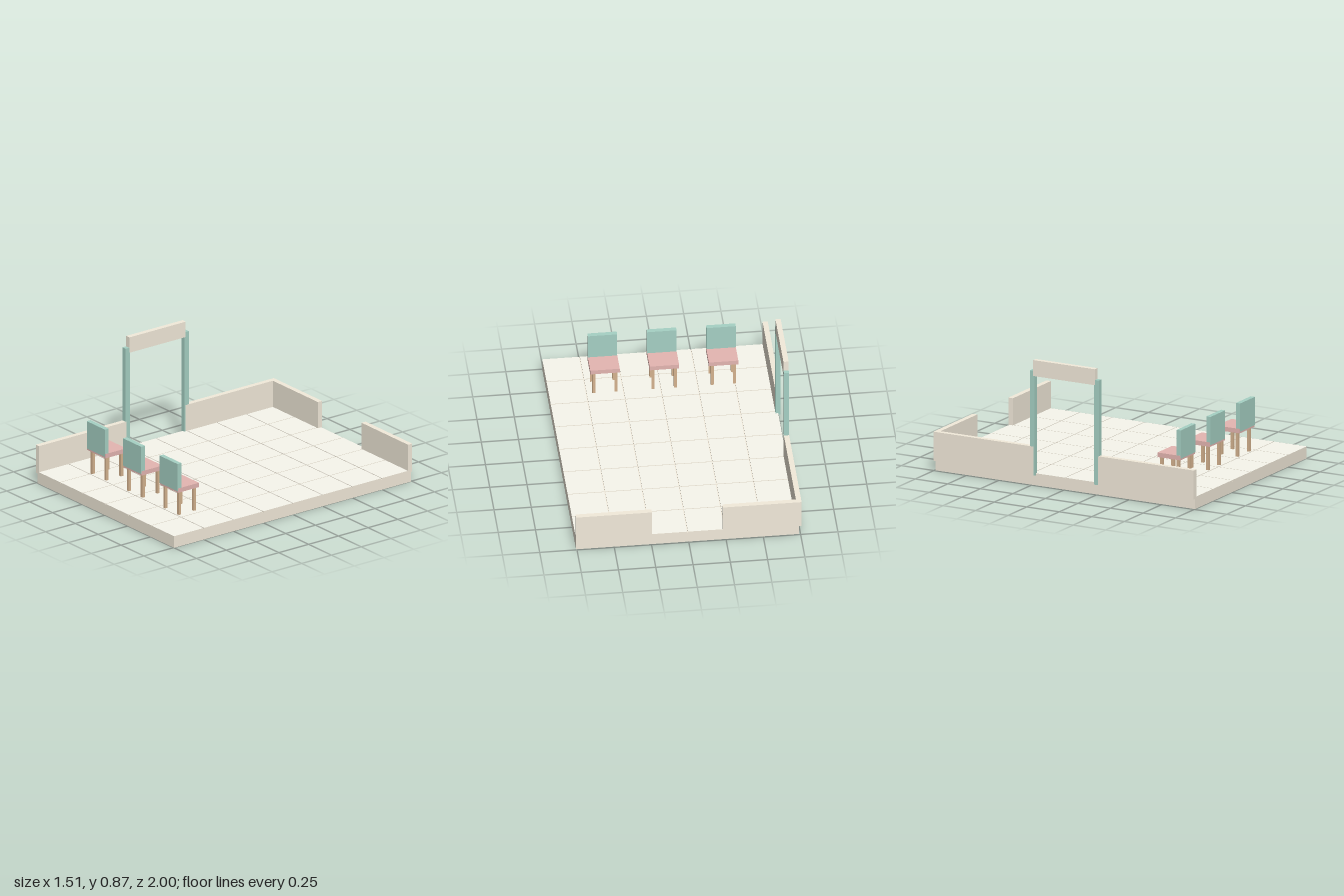
import * as THREE from 'three';

const mat = (color) => new THREE.MeshStandardMaterial({ color, flatShading: true });

// Box given by its [min, max] range on each axis
function block(name, material, [x0, x1], [y0, y1], [z0, z1]) {
  const mesh = new THREE.Mesh(new THREE.BoxGeometry(x1 - x0, y1 - y0, z1 - z0), material);
  mesh.position.set((x0 + x1) / 2, (y0 + y1) / 2, (z0 + z1) / 2);
  mesh.name = name;
  return mesh;
}

export function createModel() {
  const model = new THREE.Group();
  model.name = 'pavilionFloor';
  const stone = mat(0xf3ebdb), tileMat = mat(0xf8f7ed), teal = mat(0xa6d1c4);
  const pink = mat(0xe5b6b2), wood = mat(0xd5b38f);
  const floorTop = 0.083;

  // Base slab with a grid of tiles separated by shallow grooves
  const base = { x0: -0.74, x1: 0.755, z0: -0.993, z1: 1 };
  const grooveBottom = 0.075, gap = 0.003;
  model.add(block('baseSlab', stone, [base.x0, base.x1], [0, grooveBottom], [base.z0, base.z1]));
  const tiles = new THREE.Group();
  tiles.name = 'floorTiles';
  const cols = 6, rows = 8;
  const w = (base.x1 - base.x0) / cols, d = (base.z1 - base.z0) / rows;
  const sides = [stone, stone, tileMat, stone, stone, stone];
  for (let i = 0; i < cols; i++) {
    for (let j = 0; j < rows; j++) {
      const x = base.x0 + i * w, z = base.z0 + j * d;
      tiles.add(block('tile', sides,
        [x + (i ? gap : 0), x + w - (i < cols - 1 ? gap : 0)],
        [grooveBottom, floorTop],
        [z + (j ? gap : 0), z + d - (j < rows - 1 ? gap : 0)]));
    }
  }
  model.add(tiles);

  // Low walls along the right side and the back, each with an opening
  const wallX = [-0.757, -0.722], wallY = [0.07, 0.27], backZ = [-1, -0.965];
  model.add(block('sideWallFront', stone, wallX, wallY, [0.265, 1]));
  model.add(block('sideWallBack', stone, wallX, wallY, [-0.965, -0.232]));
  model.add(block('backWallRight', stone, [-0.757, -0.229], wallY, backZ));
  model.add(block('backWallLeft', stone, [0.247, 0.756], wallY, backZ));

  // Doorway: two posts and a lintel
  const inset = (amount) => [wallX[0] + amount, wallX[1] - amount];
  model.add(block('doorPostFront', teal, inset(0.0004), [0.07, 0.793], [0.234, 0.271]));
  model.add(block('doorPostBack', teal, inset(0.0004), [0.07, 0.793], [-0.259, -0.222]));
  model.add(block('doorLintel', stone, wallX, [0.757, 0.867], [-0.233, 0.241]));

  // Row of three chairs facing the back
  for (const x of [-0.413, -0.016, 0.382]) {
    const chair = new THREE.Group();
    chair.name = 'chair';
    chair.add(block('seat', pink, [-0.099, 0.099], [0.25, 0.281], [0.58, 0.757]));
    chair.add(block('backrest', teal, [-0.0985, 0.0985], [0.262, 0.457], [0.728, 0.76]));
    for (const lx of [-0.076, 0.074]) {
      for (const lz of [0.603, 0.728]) {
        chair.add(block('leg', wood, [lx - 0.01, lx + 0.01], [floorTop - 0.003, 0.252], [lz - 0.01, lz + 0.01]));
      }
    }
    chair.position.x = x;
    model.add(chair);
  }
  return model;
}
